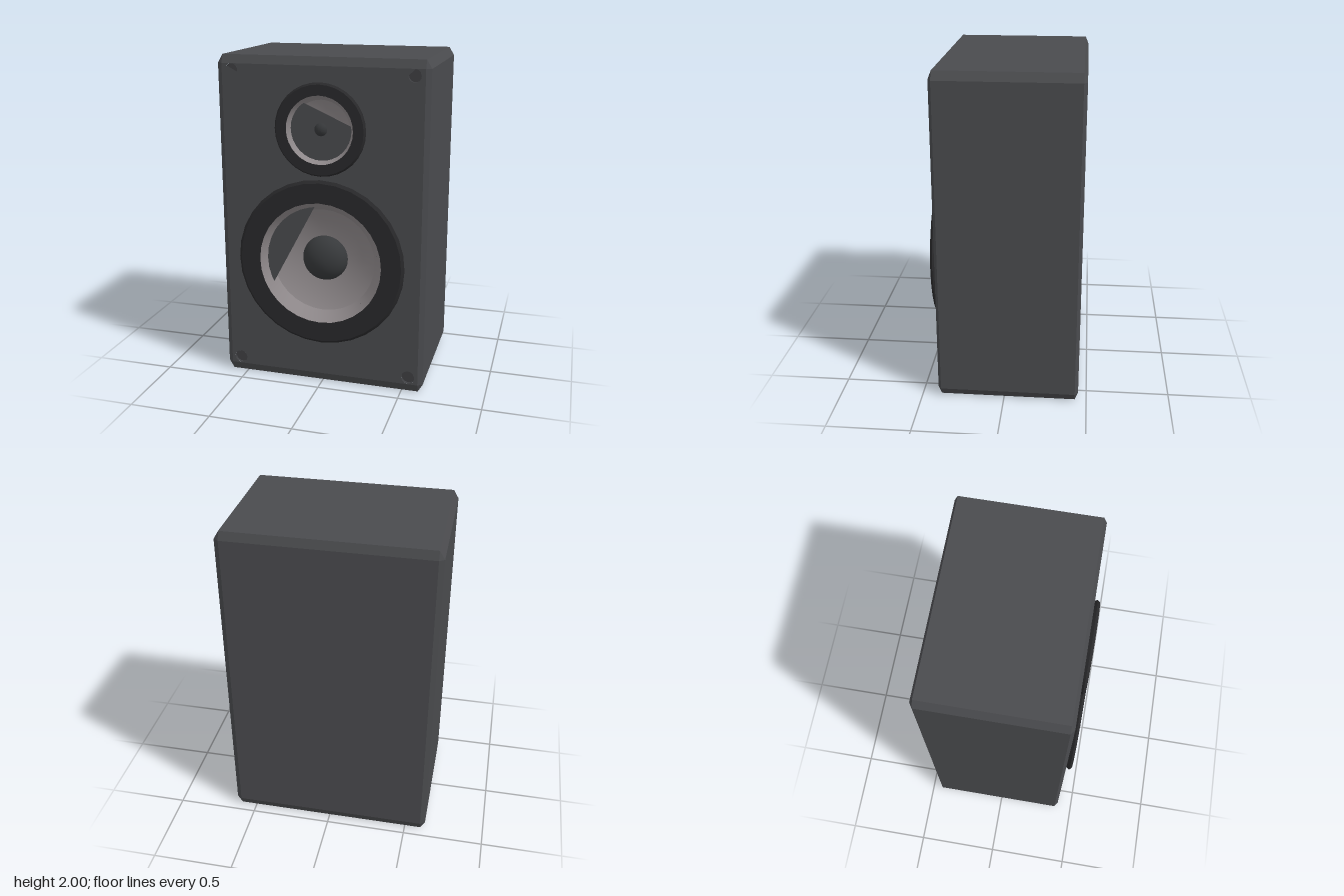
import * as THREE from 'three';
import { toCreasedNormals } from 'three/addons/utils/BufferGeometryUtils.js';

const paint = (color, extra = {}) => new THREE.MeshStandardMaterial({ color, ...extra });
const BACK = -0.45, FRONT = 0.405;
const W = 0.63, H = 2, BX = 0.03, BY = 0.05, BZ = 0.02; // half width, height, bevels

const rad = THREE.MathUtils.degToRad;

function part(name, geometry, material) {
  const mesh = new THREE.Mesh(geometry, material);
  mesh.name = name;
  return mesh;
}

// Profile of [radius, z] points turned about the z axis, centred on (x, y)
function turned(points, x, y, segments = 32) {
  const g = new THREE.LatheGeometry(points.map(([r, z]) => new THREE.Vector2(r, z)), segments);
  g.rotateX(Math.PI / 2).translate(x, y, 0);
  return toCreasedNormals(g, 0.3);
}

// Rounded cap profile from its rim to its tip
function domeProfile(radius, z, height, steps = 8) {
  return Array.from({ length: steps + 1 }, (_, i) => {
    const a = (i / steps) * Math.PI / 2;
    return [i === steps ? 0 : radius * Math.cos(a), z + height * Math.sin(a)];
  });
}

// Cross-section of the cabinet: eight corners, counter-clockwise from the front.
// With bevelled = false the pairs of corners meet in a smaller rectangle.
function section(z, bevelled) {
  const corners = [[1, 0], [1, 1], [-1, 1], [-1, 0]];
  return corners.flatMap(([sx, top], i) => {
    const x = sx * (W - BX), y = top ? H - BY : BY;
    const onSide = new THREE.Vector3(bevelled ? sx * W : x, y, z);
    const onEnd = new THREE.Vector3(x, bevelled ? top * H : y, z);
    return i % 2 ? [onSide, onEnd] : [onEnd, onSide];
  });
}

// Bevelled sides and back, lofted through four sections
function shellGeometry() {
  const rings = [section(BACK, false), section(BACK + BZ, true),
    section(FRONT - BZ, true), section(FRONT, false)];
  const points = [];
  for (let i = 0; i < 3; i++) {
    for (let j = 0; j < 8; j++) {
      const k = (j + 1) % 8;
      const a = rings[i][j], b = rings[i][k], c = rings[i + 1][k], d = rings[i + 1][j];
      points.push(a, b, c, a, c, d);
    }
  }
  const [p, q, r, s] = [0, 2, 4, 6].map((j) => rings[0][j]);
  points.push(p, r, q, p, s, r);
  const g = new THREE.BufferGeometry().setFromPoints(points);
  g.computeVertexNormals();
  return g;
}

// Openings in the front panel: centre, radius and the arc (closed by a chord)
const openings = [
  { x: 0, y: 0.785, r: 0.342, from: 207, to: 457 },
  { x: 0, y: 1.588, r: 0.182, from: 8, to: 124 },
  { x: -0.54, y: 0.095, r: 0.04, from: 0, to: 360 },
  { x: 0.54, y: 0.095, r: 0.04, from: 0, to: 360 },
  { x: -0.54, y: 1.912, r: 0.037, from: -15, to: 140 },
  { x: 0.54, y: 1.912, r: 0.037, from: 180, to: 445 },
];

function frontGeometry() {
  const x = W - BX;
  const shape = new THREE.Shape([[-x, BY], [x, BY], [x, H - BY], [-x, H - BY]]
    .map(([u, v]) => new THREE.Vector2(u, v)));
  for (const o of openings) {
    const hole = new THREE.Path();
    hole.absarc(o.x, o.y, o.r, rad(o.from), rad(o.to), false);
    hole.closePath();
    shape.holes.push(hole);
  }
  return new THREE.ShapeGeometry(shape, 24).translate(0, 0, FRONT);
}

// One driver: surround ring, cone and centre dome
function driver(name, y, ring, cone, dome) {
  const group = new THREE.Group();
  group.name = name;
  group.add(
    part(name + 'Ring', turned(ring, 0, y), paint(0x29292b)),
    part(name + 'Cone', turned(cone, 0, y), paint(0x8f898b, { side: THREE.DoubleSide })),
    part(name + 'Dome', turned(dome, 0, y), paint(0x37393b)),
  );
  return group;
}

export function createModel() {
  const model = new THREE.Group();
  model.name = 'bookshelfSpeaker';

  // Cabinet
  const cabinet = new THREE.Group();
  cabinet.name = 'cabinet';
  cabinet.add(
    part('cabinetShell', shellGeometry(), paint(0x4a4b4e, { flatShading: true })),
    part('frontPanel', frontGeometry(), paint(0x4a4b4e)),
  );
  model.add(cabinet);

  // Shallow screw recesses in the corners
  for (const o of openings.slice(2)) {
    const cup = turned([[o.r, FRONT], [o.r, FRONT - 0.02], [0, FRONT - 0.02]], o.x, o.y, 20);
    model.add(part('screwRecess', cup, paint(0x3e3f42, { side: THREE.DoubleSide })));
  }

  // Large lower driver
  model.add(driver('woofer', 0.785,
    [[0.49, FRONT], [0.512, 0.435], [0.495, 0.45], [0.375, 0.45]],
    [[0.375, 0.45], [0.342, FRONT], [0.32, 0.375], [0.24, 0.335], [0.13, 0.315]],
    domeProfile(0.14, 0.32, 0.1)));

  // Small upper driver
  model.add(driver('tweeter', 1.588,
    [[0.262, FRONT], [0.273, 0.425], [0.262, 0.44], [0.2, 0.44]],
    [[0.2, 0.44], [0.182, FRONT], [0.17, 0.39], [0.12, 0.37], [0.04, 0.36]],
    domeProfile(0.052, 0.365, 0.06)));

  return model;
}
